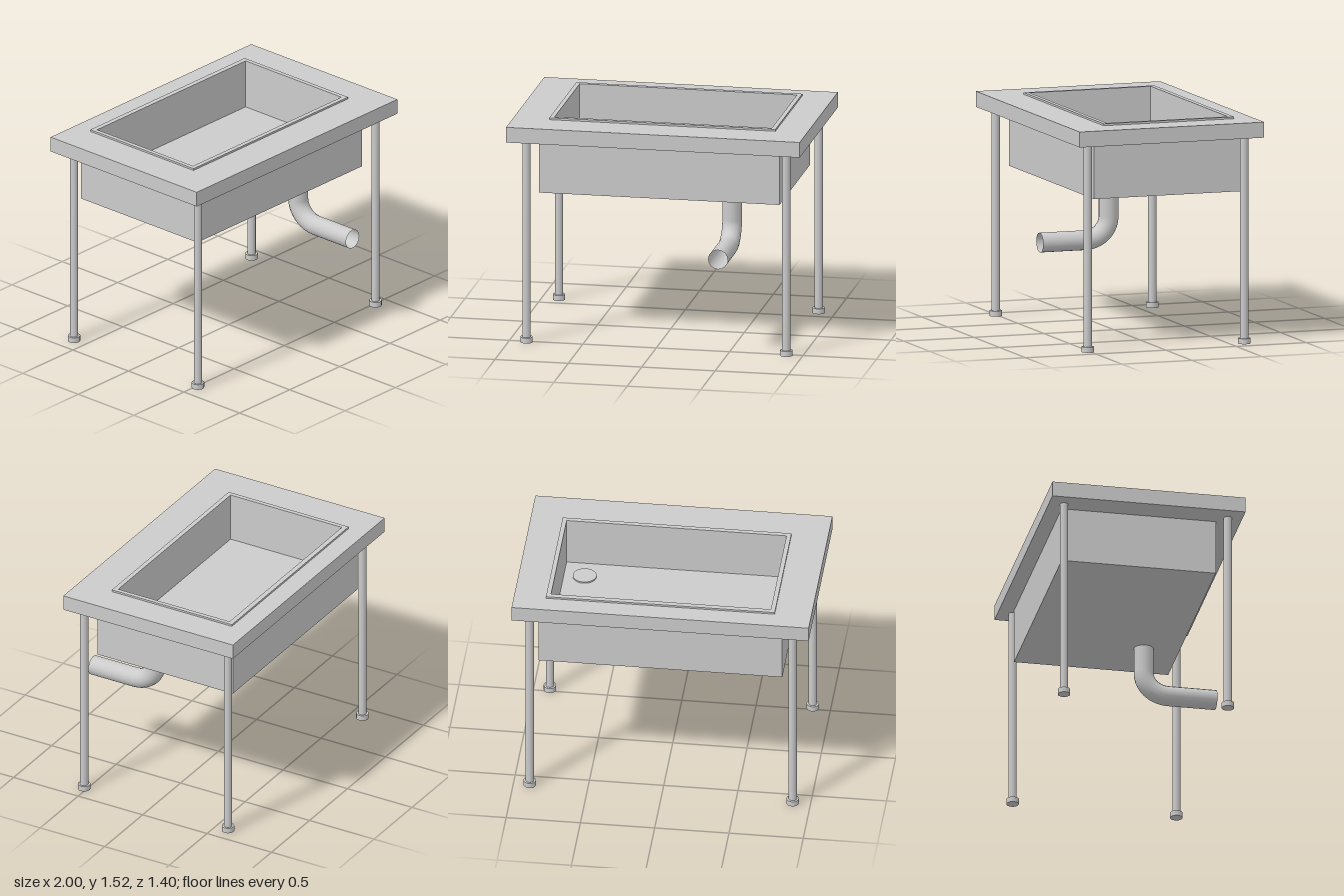
import * as THREE from 'three';

const material = new THREE.MeshStandardMaterial({ color: 0xcccccc });
const openMaterial = new THREE.MeshStandardMaterial({ color: 0xcccccc, side: THREE.DoubleSide });

// Rectangles in plan: [x0, x1, z0, z1]
const TOP = [-1, 1, -0.70, 0.615];
const TUB = [-0.81, 0.83, -0.60, 0.45];
const RIM = [-0.755, 0.785, -0.565, 0.365];
const OPENING = [-0.725, 0.755, -0.53, 0.333];

function corners([x0, x1, z0, z1]) {
  return [[x0, z0], [x1, z0], [x1, z1], [x0, z1]].map(([x, z]) => new THREE.Vector2(x, z));
}

// Horizontal slab from y0 to y1, with an optional rectangular hole
function slab(name, outer, hole, y0, y1) {
  const shape = new THREE.Shape(corners(outer));
  if (hole) shape.holes.push(new THREE.Path(corners(hole)));
  const geometry = new THREE.ExtrudeGeometry(shape, { depth: y1 - y0, bevelEnabled: false });
  geometry.rotateX(Math.PI / 2).translate(0, y1, 0);
  const mesh = new THREE.Mesh(geometry, material);
  mesh.name = name;
  return mesh;
}

function cylinder(name, radius, x, y0, y1, z, sides) {
  const mesh = new THREE.Mesh(new THREE.CylinderGeometry(radius, radius, y1 - y0, sides), material);
  mesh.position.set(x, (y0 + y1) / 2, z);
  mesh.name = name;
  return mesh;
}

// Open pipe: straight down, a quarter bend, then straight forward
function drainPipe() {
  const x = 0.46, zBack = 0.21, zBend = 0.375, yBend = 0.84, yLow = 0.688, k = 0.552;
  const p = (y, z) => new THREE.Vector3(x, y, z);
  const path = new THREE.CurvePath();
  path.add(new THREE.LineCurve3(p(1.03, zBack), p(yBend, zBack)));
  path.add(new THREE.CubicBezierCurve3(
    p(yBend, zBack),
    p(yBend - k * (yBend - yLow), zBack),
    p(yLow, zBend - k * (zBend - zBack)),
    p(yLow, zBend)));
  path.add(new THREE.LineCurve3(p(yLow, zBend), p(yLow, 0.70)));
  const mesh = new THREE.Mesh(new THREE.TubeGeometry(path, 32, 0.067, 16, false), openMaterial);
  mesh.name = 'drainPipe';
  return mesh;
}

export function createModel() {
  const model = new THREE.Group();
  model.name = 'sinkTable';

  // Worktop and raised rim around the opening
  model.add(slab('worktop', TOP, OPENING, 1.40, 1.505));
  model.add(slab('rim', RIM, OPENING, 1.505, 1.518));

  // Basin walls and thick base
  model.add(slab('basinWalls', TUB, OPENING, 1.18, 1.40));
  model.add(slab('basinBase', TUB, null, 1.02, 1.18));

  // Drain cover on the basin floor and waste pipe below
  model.add(cylinder('drainCover', 0.08, 0.615, 1.18, 1.19, 0.18, 24));
  model.add(drainPipe());

  // Four legs with wider feet
  for (const x of [-0.88, 0.89]) {
    for (const z of [0.518, -0.598]) {
      const leg = new THREE.Group();
      leg.name = (z > 0 ? 'front' : 'back') + (x > 0 ? 'Left' : 'Right') + 'Leg';
      leg.add(cylinder('post', 0.028, x, 0.03, 1.40, z, 16));
      leg.add(cylinder('foot', 0.042, x, 0, 0.037, z, 16));
      model.add(leg);
    }
  }
  return model;
}
